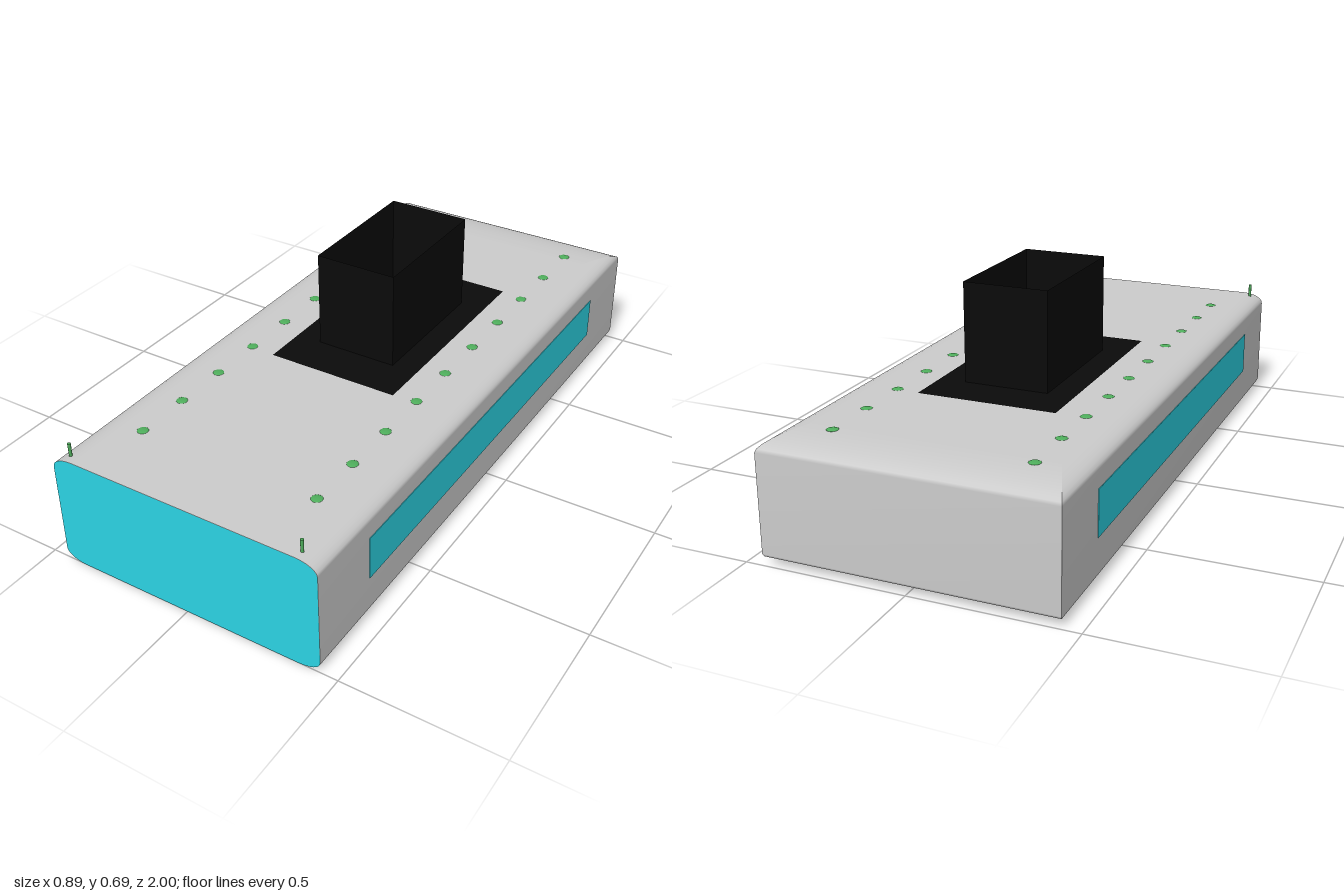
import * as THREE from 'three';

const W = 0.445, H = 0.37, ROUND = 0.07, DROP = 0.035, TAPER = 0.17, STEPS = 6;

const grey = new THREE.MeshStandardMaterial({ color: 0xcccccc });
const cyan = new THREE.MeshStandardMaterial({ color: 0x2cd4e4 });
const black = new THREE.MeshStandardMaterial({ color: 0x0a0a0a, side: THREE.DoubleSide });
const green = new THREE.MeshStandardMaterial({ color: 0x4fae5c });
const dark = new THREE.MeshStandardMaterial({ color: 0x222222 });

function add(parent, name, geometry, material, x = 0, y = 0, z = 0) {
  const mesh = new THREE.Mesh(geometry, material);
  mesh.name = name;
  mesh.position.set(x, y, z);
  parent.add(mesh);
  return mesh;
}

// Turns evenly spaced rows (y = -1..1) into a hull outline: elliptical edges
// above and below, pulled in gently at the sides and further at the back.
function shapeRows(geometry) {
  const p = geometry.attributes.position;
  const rows = 2 * STEPS + 1;
  for (let i = 0; i < p.count; i++) {
    const row = Math.round((p.getY(i) + 1) / 2 * rows);
    const upper = row > STEPS;
    const k = upper ? row - STEPS - 1 : STEPS - row;
    const a = k / STEPS * Math.PI / 2;
    const inset = 1 - Math.cos(a);
    const y = H / 2 - DROP + DROP * Math.sin(a);
    const z = p.getZ(i) < 0 ? -1 + TAPER * inset : 1;
    p.setXYZ(i, Math.sign(p.getX(i)) * (W - ROUND * inset), H / 2 + (upper ? y : -y), z);
  }
  geometry.computeVertexNormals();
  return geometry;
}

export function createModel() {
  const model = new THREE.Group();
  model.name = 'model';
  const rows = 2 * STEPS + 1;

  // Hull and the coloured front panel that follows its outline
  add(model, 'hull', shapeRows(new THREE.BoxGeometry(2, 2, 2, 1, rows, 1)), grey);
  add(model, 'frontPanel', shapeRows(new THREE.PlaneGeometry(2, 2, 1, rows)), cyan, 0, 0, 0.001);

  // Long side windows
  for (const s of [-1, 1]) {
    add(model, s > 0 ? 'leftWindow' : 'rightWindow',
      new THREE.BoxGeometry(0.01, 0.14, 1.5), cyan, s * (W - 0.003), 0.21, 0);
  }

  // Open rectangular chimney with its flat flange
  const chimney = new THREE.Group();
  chimney.name = 'chimney';
  chimney.position.set(0, H, -0.127);
  model.add(chimney);
  const tube = new THREE.CylinderGeometry(Math.SQRT1_2, Math.SQRT1_2, 0.315, 4, 1, true)
    .rotateY(Math.PI / 4).scale(0.27, 1, 0.46).toNonIndexed();
  tube.computeVertexNormals();
  add(chimney, 'chimneyWalls', tube, black, 0, 0.1575, 0);
  const rect = (Type, w, d) => new Type([[-w, -d], [w, -d], [w, d], [-w, d]]
    .map(([x, y]) => new THREE.Vector2(x, y)));
  const flange = rect(THREE.Shape, 0.22, 0.373);
  flange.holes.push(rect(THREE.Path, 0.135, 0.23));
  add(chimney, 'flange', new THREE.ShapeGeometry(flange).rotateX(-Math.PI / 2), black, 0, 0.002, 0);

  // Two rows of low domed studs on the deck
  const stud = new THREE.SphereGeometry(0.018, 16, 6, 0, Math.PI * 2, 0, Math.PI / 2).scale(1, 0.25, 1);
  for (const x of [-0.307, 0.295]) {
    for (let i = 0; i < 10; i++) {
      add(model, 'deckStud', stud, green, x, H - 0.001, -0.846 + i * 0.18);
    }
    // Dark feet showing under the tapered rear
    add(model, 'rearFoot', new THREE.CylinderGeometry(0.06, 0.06, 0.03, 24), dark, x, 0.016, -0.84);
  }

  // Slim posts at the front corners
  const post = new THREE.CylinderGeometry(0.005, 0.005, 0.055, 10);
  for (const x of [-0.404, 0.38]) add(model, 'cornerPost', post, green, x, 0.3825, 0.97);

  return model;
}
